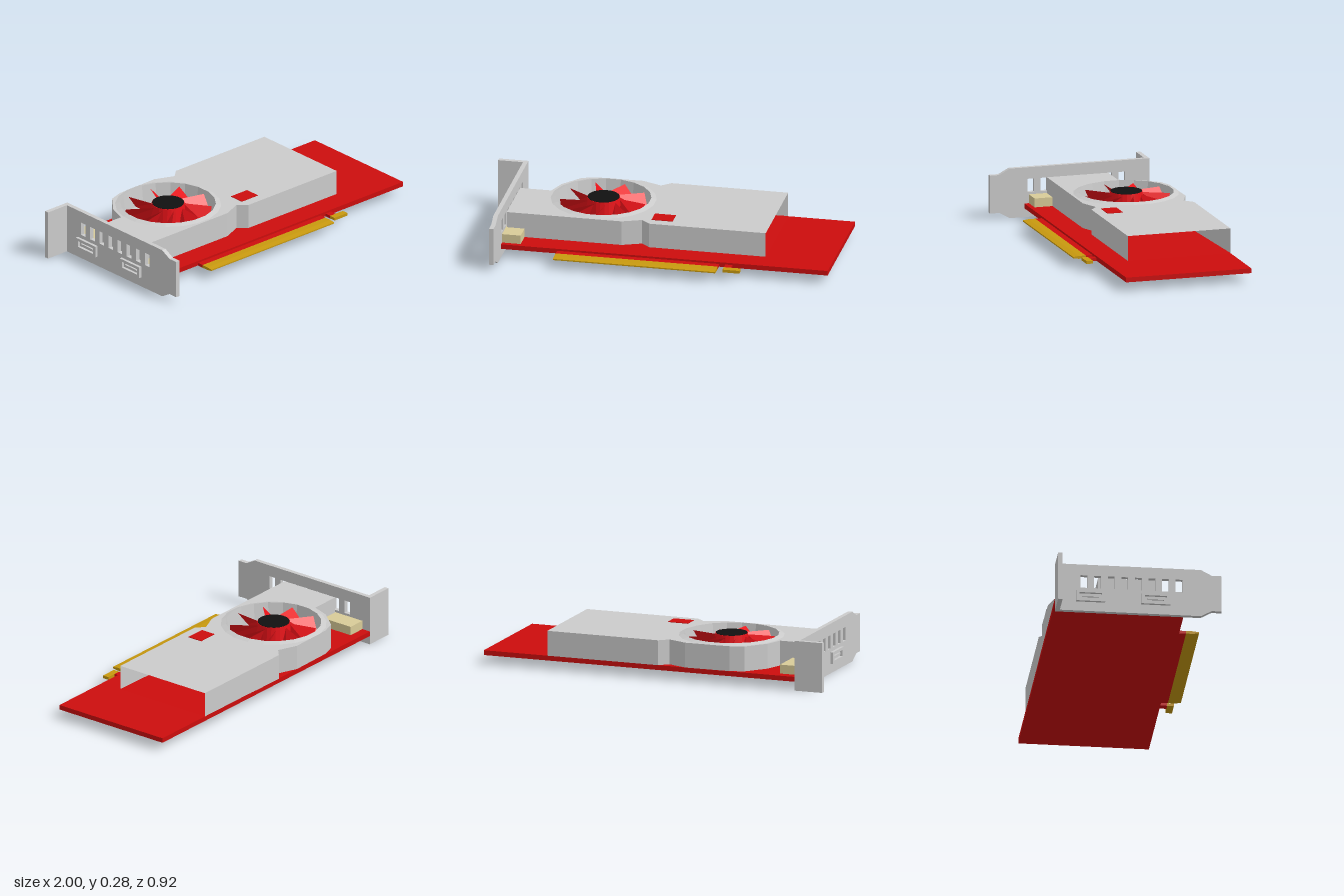
import * as THREE from 'three';

const material = (color) => new THREE.MeshStandardMaterial({ color, flatShading: true, side: THREE.DoubleSide });
const grey = material(0xcccccc), red = material(0xcc0d0d), bladeRed = material(0xe81218);
const gold = material(0xc8990f), tan = material(0xd8cb98), black = material(0x111111);

const FAN = { x: -0.35, z: -0.17 };
const TOP = 0.217;

export function createModel() {
  const model = new THREE.Group();

  const add = (name, geometry, mat, parent = model) => {
    const mesh = new THREE.Mesh(geometry, mat);
    mesh.name = name;
    parent.add(mesh);
    return mesh;
  };

  // Box given by its minimum and maximum on each axis
  const box = (name, x0, x1, y0, y1, z0, z1, mat, parent) =>
    add(name, new THREE.BoxGeometry(x1 - x0, y1 - y0, z1 - z0)
      .translate((x0 + x1) / 2, (y0 + y1) / 2, (z0 + z1) / 2), mat, parent);

  // Profile of [z, y] points (and holes) extruded along x
  const extrudeX = (points, x0, x1, holes = []) => {
    const toPath = (list) => list.map(([z, y]) => new THREE.Vector2(-z, y));
    const shape = new THREE.Shape(toPath(points));
    holes.forEach((h) => shape.holes.push(new THREE.Path(toPath(h))));
    return new THREE.ExtrudeGeometry(shape, { depth: x1 - x0, bevelEnabled: false })
      .rotateY(Math.PI / 2).translate(x0, 0, 0);
  };
  const rect = (z0, z1, y0, y1) => [[z0, y0], [z1, y0], [z1, y1], [z0, y1]];

  // Strip of quads joining two rows of points
  const strip = (a, b, closed = true) => {
    const index = [], n = a.length;
    for (let i = 0; i < (closed ? n : n - 1); i++) {
      const j = (i + 1) % n;
      index.push(i, j, n + j, i, n + j, n + i);
    }
    const geometry = new THREE.BufferGeometry();
    geometry.setAttribute('position', new THREE.Float32BufferAttribute([...a, ...b].flat(), 3));
    geometry.setIndex(index);
    geometry.computeVertexNormals();
    return geometry;
  };

  // Circuit board and edge connectors
  box('circuitBoard', -0.835, 1, 0.05, 0.077, -0.46, 0.262, red);
  box('mainConnectorTab', -0.52, 0.39, 0.05, 0.066, 0.26, 0.30, red);
  box('smallConnectorTab', 0.425, 0.465, 0.05, 0.066, 0.26, 0.30, red);
  add('mainConnector', extrudeX([[0.30, 0.05], [0.34, 0.05], [0.372, 0.055], [0.372, 0.062], [0.34, 0.066], [0.30, 0.066]],
    -0.52, 0.39), gold);
  box('smallConnector', 0.425, 0.52, 0.05, 0.066, 0.30, 0.337, gold);

  // Mounting bracket with vent slots and folded flange
  const slots = [];
  for (let i = 0; i < 8; i++) {
    const z = -0.32 + i * 0.075;
    slots.push(rect(z, z + 0.038, 0.14, 0.215));
  }
  add('bracket', extrudeX([[-0.46, 0], [0.345, 0], [0.405, 0.034], [0.46, 0.034], [0.46, 0.248], [0.405, 0.248],
    [0.345, 0.28], [-0.46, 0.28]], -0.86, -0.835, slots), grey);
  box('bracketFlange', -1, -0.86, 0, 0.28, -0.46, -0.435, grey);

  // Display sockets: block behind the bracket, raised frame in front of it
  for (const z of [-0.265, 0.095]) {
    const socket = new THREE.Group();
    socket.name = 'displaySocket';
    model.add(socket);
    box('socketBody', -0.835, -0.73, 0.077, 0.127, z - 0.143, z + 0.141, tan, socket);
    add('socketFrame', extrudeX(rect(z - 0.08, z + 0.08, 0.055, 0.12), -0.876, -0.86,
      [rect(z - 0.062, z + 0.062, 0.07, 0.105)]), grey, socket);
    box('socketTongue', -0.87, -0.86, 0.083, 0.092, z - 0.045, z + 0.045, grey, socket);
  }

  // Cooler shroud: outline in [x, z], open at the +x end
  const outline = [[0.625, 0.133], [-0.03, 0.133], [-0.08, 0.09], [-0.185, 0.133], [-0.83, 0.133], [-0.83, -0.22],
    [-0.655, -0.22], [-0.62, -0.32], [-0.53, -0.43], [-0.45, -0.455], [-0.19, -0.46], [-0.08, -0.415],
    [-0.03, -0.46], [0.625, -0.46]];
  const level = (y) => outline.map(([x, z]) => [x, y, z]);
  const ring = (r, y, n = 20) => Array.from({ length: n }, (_, i) => {
    const a = (i + 0.5) / n * Math.PI * 2;
    return [FAN.x + r * Math.cos(a), y, FAN.z + r * Math.sin(a)];
  });
  const flat = (points) => points.map(([x, , z]) => new THREE.Vector2(x, -z));
  const shroud = new THREE.Group();
  shroud.name = 'shroud';
  model.add(shroud);
  add('shroudWalls', strip(level(0.075), level(TOP), false), grey, shroud);
  const topShape = new THREE.Shape(flat(level(0)));
  topShape.holes.push(new THREE.Path(flat(ring(0.28, 0))));
  add('shroudTop', new THREE.ShapeGeometry(topShape).rotateX(-Math.PI / 2).translate(0, TOP, 0), grey, shroud);
  add('fanCollar', strip(ring(0.292, TOP), ring(0.263, 0.226)), grey, shroud);
  add('fanWellWall', strip(ring(0.263, 0.226), ring(0.25, 0.12)), grey, shroud);
  add('fanWellFloor', new THREE.ShapeGeometry(new THREE.Shape(flat(ring(0.25, 0))))
    .rotateX(-Math.PI / 2).translate(0, 0.12, 0), grey, shroud);
  box('shroudBadge', -0.028, 0.09, TOP - 0.004, TOP + 0.003, -0.01, 0.078, red, shroud);

  // Tapering exhaust duct inside the open end
  const mouth = [[0.625, 0.078, 0.133], [0.625, TOP, 0.133], [0.625, TOP, -0.46], [0.625, 0.078, -0.46]];
  const throat = [[0, 0.09, 0.10], [0, 0.19, 0.10], [0, 0.19, -0.41], [0, 0.09, -0.41]];
  add('ductWalls', strip(mouth, throat, false), grey, shroud);
  add('ductFloor', strip([mouth[0], mouth[3]], [throat[0], throat[3]], false), red, shroud);
  add('ductEnd', strip([throat[0], throat[1]], [throat[3], throat[2]], false), grey, shroud);

  // Fan: hub, cap and nine pitched blades
  const fan = new THREE.Group();
  fan.name = 'fan';
  fan.position.set(FAN.x, 0, FAN.z);
  model.add(fan);
  add('fanHub', new THREE.CylinderGeometry(0.09, 0.1, 0.108, 24).translate(0, 0.174, 0), bladeRed, fan);
  add('fanCap', new THREE.CylinderGeometry(0.088, 0.088, 0.004, 24).translate(0, 0.228, 0), black, fan);
  const polar = (r, degrees, y) => {
    const a = THREE.MathUtils.degToRad(degrees);
    return [r * Math.sin(a), y, -r * Math.cos(a)];
  };
  const blade = strip([polar(0.085, 0, 0.215), polar(0.24, 17, 0.215)],
    [polar(0.085, 22, 0.122), polar(0.247, 36, 0.122)], false);
  for (let i = 0; i < 9; i++) {
    add('fanBlade', blade, bladeRed, fan).rotation.y = -i * Math.PI * 2 / 9;
  }

  return model;
}
